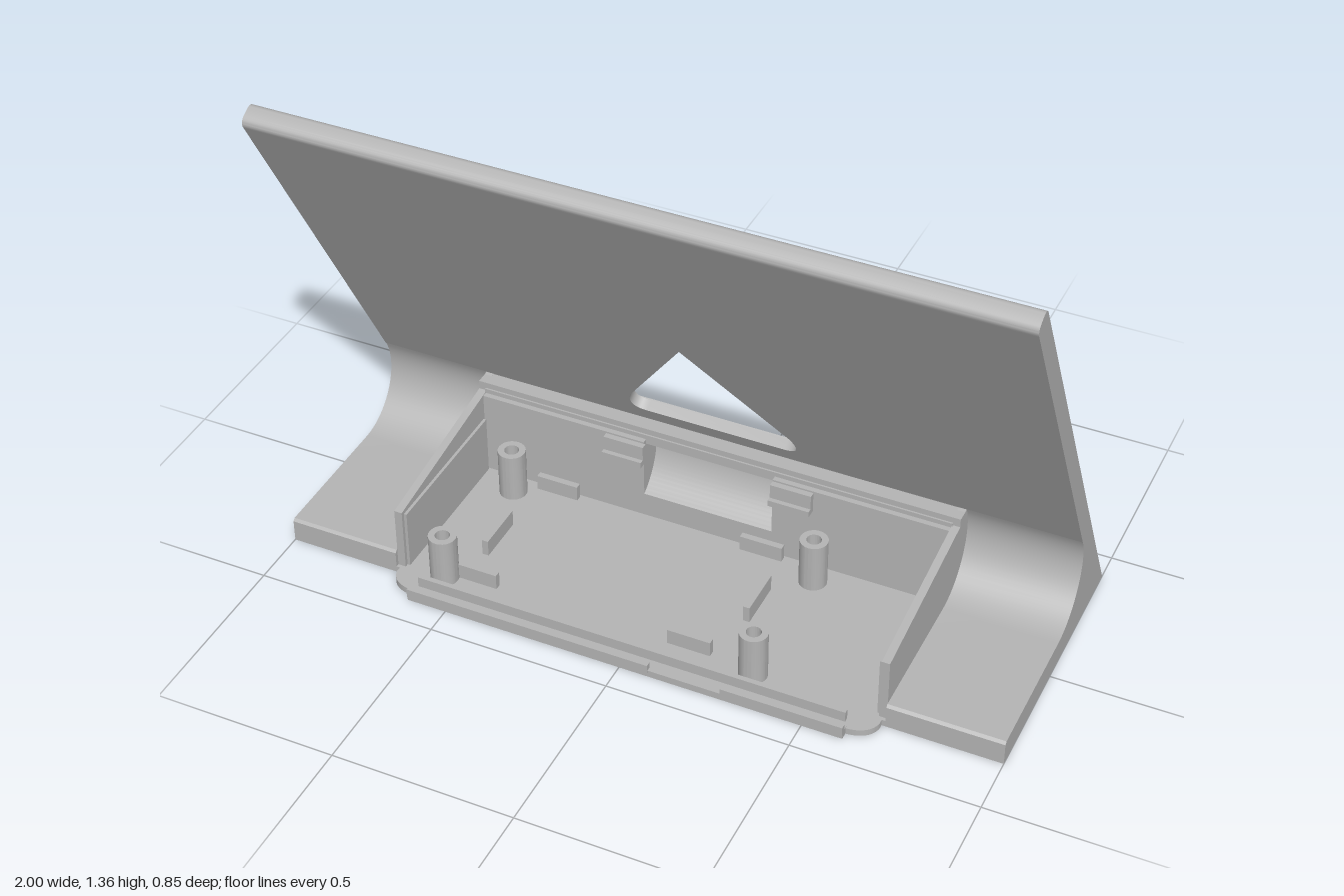
import * as THREE from 'three';
import { toCreasedNormals } from 'three/addons/utils/BufferGeometryUtils.js';

const BACK = -0.42, LEAN = 0.501, THICK = 0.0625, SKIN = 0.032;
const SIN = Math.sin(LEAN), COS = Math.cos(LEAN);

export function createModel() {
  const root = new THREE.Group();
  root.name = 'leaningStand';
  const grey = new THREE.MeshStandardMaterial({ color: 0xb4b4b4 });
  grey.name = 'grey plastic';

  function add(name, geometry, parent = root) {
    const mesh = new THREE.Mesh(geometry, grey);
    mesh.name = name;
    parent.add(mesh);
    return mesh;
  }
  // Box given by its limits on each axis
  function box(name, x0, x1, y0, y1, z0, z1, parent = root) {
    const g = new THREE.BoxGeometry(x1 - x0, y1 - y0, z1 - z0);
    g.translate((x0 + x1) / 2, (y0 + y1) / 2, (z0 + z1) / 2);
    return add(name, g, parent);
  }
  // Side profile of [z, y] points, extruded from x0 to x1
  function profile(name, points, x0, x1, parent = root) {
    const shape = new THREE.Shape(points.map(([z, y]) => new THREE.Vector2(-z, y)));
    const g = new THREE.ExtrudeGeometry(shape, { depth: x1 - x0, bevelEnabled: false });
    g.rotateY(Math.PI / 2);
    g.translate(x0, 0, 0);
    return add(name, toCreasedNormals(g, 0.5), parent);
  }
  // Distance s up the panel and n out from its back, as [z, y]
  const onPanel = (s, n) => [BACK + s * SIN + n * COS, s * COS - n * SIN];
  // Cove between the base and the panel
  function cove(fromDegrees) {
    const pts = [], end = Math.PI - LEAN, start = THREE.MathUtils.degToRad(fromDegrees);
    for (let i = 0; i <= 20; i++) {
      const a = start + (end - start) * i / 20;
      pts.push([-0.05 + 0.155 * Math.cos(a), 0.225 + 0.155 * Math.sin(a)]);
    }
    return pts;
  }
  const shoulder = [onPanel(0.376, THICK), onPanel(0.376, SKIN), onPanel(0.354, SKIN), onPanel(0.354, 0)];

  // Base with its coved foot: full height at the sides, thin floor in the middle
  const footProfile = [[BACK, 0], [0.34, 0], [0.34, 0.063], [0.333, 0.07], ...cove(270), ...shoulder];
  profile('leftFoot', footProfile, 0.69, 1);
  profile('rightFoot', footProfile, -1, -0.69);
  profile('middleFoot', [[BACK, 0], [0.34, 0], [0.34, 0.018], [-0.125, 0.018], ...cove(241), ...shoulder], -0.69, 0.69);

  // Leaning panel, in its own tilted frame
  const panel = new THREE.Group();
  panel.name = 'leaningPanel';
  panel.position.z = BACK;
  panel.rotation.x = LEAN;
  root.add(panel);

  const skin = new THREE.Shape([[-1, 0.376], [1, 0.376], [1, 1.532], [-1, 1.532]].map(p => new THREE.Vector2(...p)));
  const hole = new THREE.Path();
  hole.moveTo(0, 0.889);
  hole.lineTo(-0.226, 0.508);
  hole.quadraticCurveTo(-0.255, 0.428, -0.195, 0.428);
  hole.lineTo(0.195, 0.428);
  hole.quadraticCurveTo(0.255, 0.428, 0.226, 0.508);
  hole.lineTo(0, 0.889);
  skin.holes.push(hole);
  const skinGeometry = new THREE.ExtrudeGeometry(skin, { depth: THICK - SKIN, bevelEnabled: false, curveSegments: 10 });
  skinGeometry.translate(0, 0, SKIN);
  add('panelSkin', toCreasedNormals(skinGeometry, 0.5), panel);

  // Raised rim around the recessed back
  for (const x of [-1, 0.982]) box('sideRim', x, x + 0.018, 0.354, 1.532, 0, SKIN, panel);
  const cap = [[0, 1.532]];
  const r = 0.02;
  for (const [c, start] of [[r, Math.PI], [THICK - r, Math.PI / 2]]) {
    for (let i = 0; i <= 6; i++) {
      const a = start - Math.PI / 2 * i / 6;
      cap.push([c + r * Math.cos(a), 1.535 + r * Math.sin(a)]);
    }
  }
  cap.push([THICK, 1.532]);
  profile('topRim', cap, -1, 1, panel);

  // Tray side walls
  const wall = [[0.33, 0], [0.33, 0.2], [-0.145, 0.27], [-0.145, 0.29], [-0.19, 0.297], [-0.21, 0.25], [-0.21, 0]];
  for (const x of [-0.69, 0.668]) profile('traySideWall', wall, x, x + 0.022);
  for (const x of [-0.668, 0.66]) box('wallLedge', x, x + 0.008, 0.018, 0.19, -0.12, 0.32);

  // Tray back wall with a wide opening onto the cove
  box('backWallRight', -0.67, -0.19, 0.01, 0.265, -0.2, -0.125);
  box('backWallLeft', 0.18, 0.67, 0.01, 0.265, -0.2, -0.125);
  box('backWallTop', -0.67, 0.67, 0.25, 0.278, -0.2, -0.14);
  box('backWallCap', -0.69, 0.69, 0.275, 0.295, -0.195, -0.145);
  for (const x of [-0.3, 0.18]) {
    box('clip', x, x + 0.115, 0.215, 0.26, -0.126, -0.108);
    box('clipHook', x, x + 0.115, 0.2, 0.218, -0.126, -0.095);
  }

  // Rounded floor edge in front of the tray
  const apron = new THREE.Shape();
  apron.moveTo(-0.68, -0.33);
  apron.lineTo(0.68, -0.33);
  apron.lineTo(0.68, -0.355);
  apron.quadraticCurveTo(0.67, -0.4, 0.61, -0.405);
  apron.lineTo(-0.61, -0.405);
  apron.quadraticCurveTo(-0.67, -0.4, -0.68, -0.355);
  const apronGeometry = new THREE.ExtrudeGeometry(apron, { depth: 0.018, bevelEnabled: false });
  apronGeometry.rotateX(-Math.PI / 2);
  add('trayApron', toCreasedNormals(apronGeometry, 0.5));
  box('frontLip', -0.61, 0.61, 0, 0.02, 0.4, 0.425);
  box('frontLipRight', -0.61, 0.08, 0.012, 0.038, 0.412, 0.428);
  box('frontLipLeft', 0.28, 0.61, 0.012, 0.038, 0.412, 0.428);
  box('frontRail', -0.6, 0.6, 0.015, 0.048, 0.37, 0.384);

  // Hollow screw posts, each with a flat web
  const postRing = [[0.02, 0.1], [0.02, 0.16], [0.038, 0.16], [0.038, 0]].map(p => new THREE.Vector2(...p)).reverse();
  postRing.push(new THREE.Vector2(0, 0.1));
  for (const x of [-0.555, 0.325]) {
    for (const z of [-0.065, 0.322]) {
      const post = add('screwPost', toCreasedNormals(new THREE.LatheGeometry(postRing, 24), 0.5));
      post.position.set(x, 0, z);
    }
  }

  // Low ribs that locate the board on the floor
  for (const [x, z] of [[-0.44, -0.11], [0.16, -0.11], [-0.47, 0.3], [0.14, 0.3]]) {
    box('crossRib', x - 0.06, x + 0.06, 0.01, 0.062, z - 0.009, z + 0.009);
  }
  for (const [x, z] of [[-0.5, 0.13], [0.23, 0.08]]) {
    box('lengthRib', x - 0.009, x + 0.009, 0.01, 0.065, z - 0.07, z + 0.07);
  }
  return root;
}
